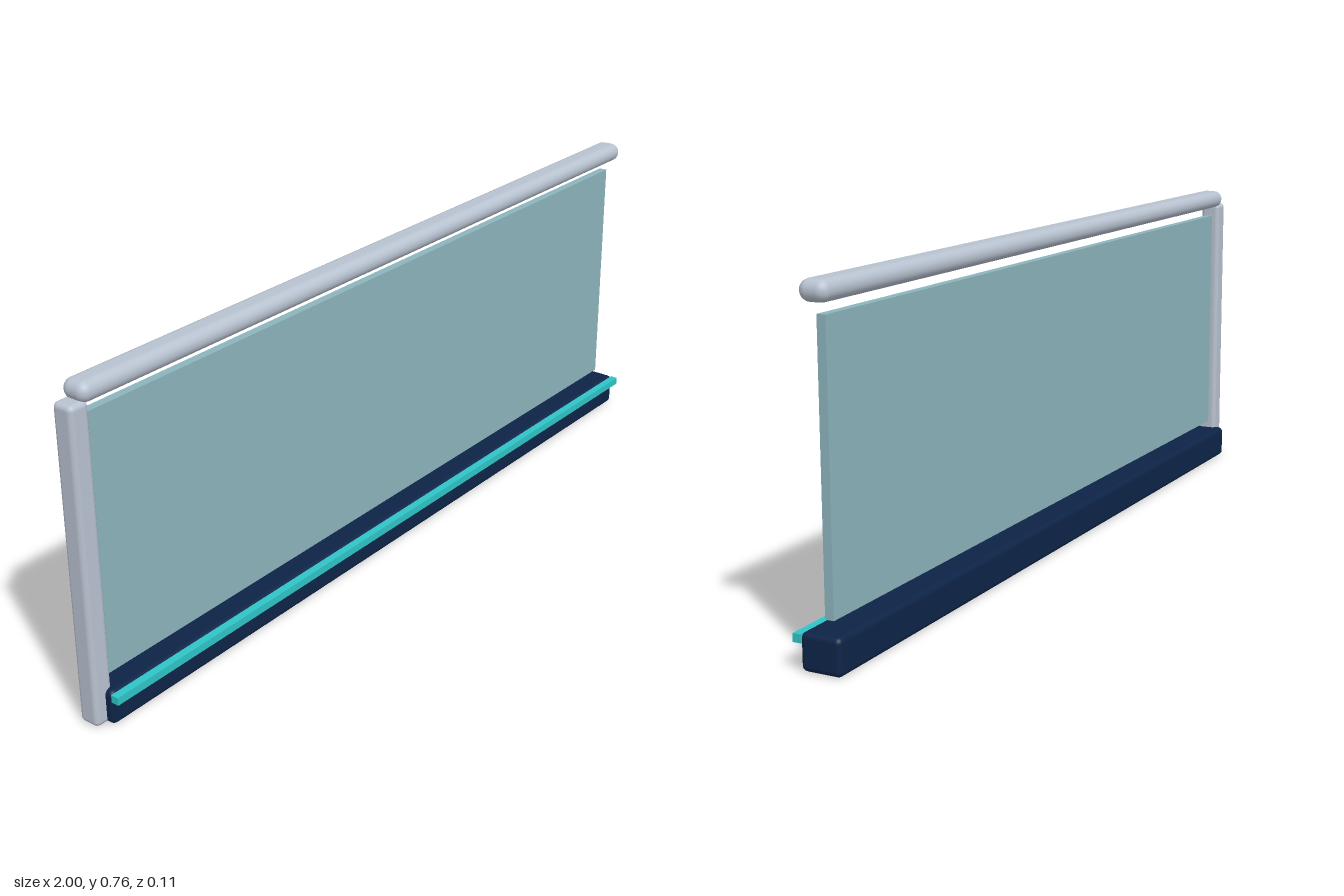
import * as THREE from 'three';
import { RoundedBoxGeometry } from 'three/addons/geometries/RoundedBoxGeometry.js';

const material = (name, color) => {
  const m = new THREE.MeshStandardMaterial({ color });
  m.name = name;
  return m;
};

export function createModel() {
  const group = new THREE.Group();
  group.name = 'glassRailing';

  const metal = material('brushedMetal', 0xb8c2d0);
  const navy = material('navyBase', 0x0d2447);
  const glass = material('tintedGlass', 0x8cb4bc);
  const teal = material('tealLight', 0x2fc4c6);

  // Box between two corners; a radius rounds its edges
  const block = (name, mat, [x0, y0, z0], [x1, y1, z1], radius = 0, segments = 3) => {
    const size = [x1 - x0, y1 - y0, z1 - z0];
    const geometry = radius
      ? new RoundedBoxGeometry(...size, segments, radius)
      : new THREE.BoxGeometry(...size);
    const mesh = new THREE.Mesh(geometry, mat);
    mesh.name = name;
    mesh.position.set((x0 + x1) / 2, (y0 + y1) / 2, (z0 + z1) / 2);
    group.add(mesh);
  };

  // Base channel with its light strip along the front
  block('baseChannel', navy, [-0.972, 0, -0.053], [1, 0.08, 0.039], 0.012);
  block('lightStrip', teal, [-0.972, 0.058, 0.036], [1, 0.076, 0.055]);

  // Glass panel
  block('glassPanel', glass, [-0.943, 0.1, -0.017], [0.965, 0.692, 0.003]);

  // Single end post and the handrail
  block('endPost', metal, [-1, 0, -0.033], [-0.951, 0.724, 0.019], 0.012);
  block('handrail', metal, [-0.972, 0.716, -0.04], [1, 0.761, 0.026], 0.022);

  return group;
}
